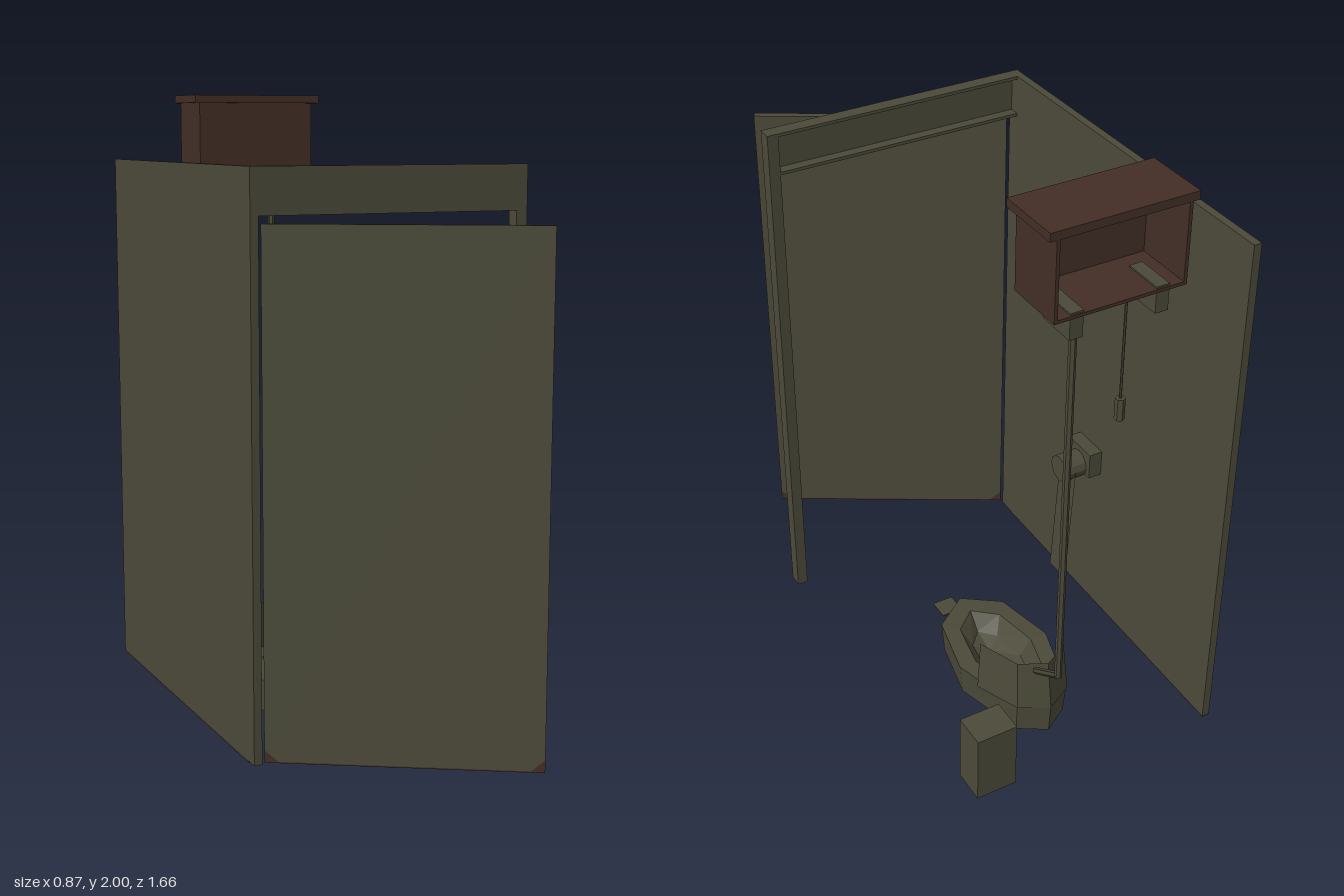
import * as THREE from 'three';

const mat = (name, color) => {
  const m = new THREE.MeshStandardMaterial({ color, side: THREE.DoubleSide, flatShading: true });
  m.name = name;
  return m;
};

// Skin between cross-section rings of [x, y, z] points; optional closing point
function loft(rings, closed, tip) {
  const pos = [];
  const n = rings[0].length;
  const count = closed ? n : n - 1;
  for (let r = 0; r < rings.length - 1; r++) {
    for (let i = 0; i < count; i++) {
      const j = (i + 1) % n;
      const [a, b, c, d] = [rings[r][i], rings[r][j], rings[r + 1][j], rings[r + 1][i]];
      pos.push(...a, ...b, ...c, ...a, ...c, ...d);
    }
  }
  if (tip) {
    const last = rings[rings.length - 1];
    for (let i = 0; i < n; i++) pos.push(...last[i], ...last[(i + 1) % n], ...tip);
  }
  const g = new THREE.BufferGeometry();
  g.setAttribute('position', new THREE.Float32BufferAttribute(pos, 3));
  g.computeVertexNormals();
  return g;
}

export function createModel() {
  const root = new THREE.Group();
  root.name = 'toiletStall';
  const olive = mat('olive', 0x4b4a39);
  const brown = mat('brown', 0x432e26);

  const add = (name, geo, material, parent = root) => {
    const m = new THREE.Mesh(geo, material);
    m.name = name;
    parent.add(m);
    return m;
  };
  // Box given by its limits on each axis
  const box = (name, [x0, x1], [y0, y1], [z0, z1], material = olive, parent = root) => {
    const m = add(name, new THREE.BoxGeometry(x1 - x0, y1 - y0, z1 - z0), material, parent);
    m.position.set((x0 + x1) / 2, (y0 + y1) / 2, (z0 + z1) / 2);
    return m;
  };
  // Straight rod between two points
  const rod = (name, a, b, radius, sides = 6) => {
    const p = new THREE.Vector3(...a), q = new THREE.Vector3(...b);
    const m = add(name, new THREE.CylinderGeometry(radius, radius, p.distanceTo(q), sides), olive);
    m.position.copy(p).add(q).multiplyScalar(0.5);
    m.quaternion.setFromUnitVectors(new THREE.Vector3(0, 1, 0), q.sub(p).normalize());
    return m;
  };

  // Side wall with a rusty lower edge
  box('sideWall', [-0.435, -0.41], [0.083, 1.79], [-0.83, 0.41]);
  box('sideWallRust', [-0.435, -0.41], [0.078, 0.083], [-0.83, 0.365], brown);

  // Door frame: post and a channel-shaped header open at the back
  box('framePost', [0.4, 0.435], [0.08, 1.79], [0.365, 0.41]);
  box('headerFace', [-0.435, 0.4], [1.655, 1.79], [0.398, 0.41]);
  for (const y of [1.655, 1.78]) box('headerLip', [-0.41, 0.4], [y, y + 0.01], [0.365, 0.398]);

  // Door standing ajar, hinged at the wall
  const door = new THREE.Group();
  door.name = 'door';
  door.position.set(-0.405, 0, 0.418);
  door.rotation.y = -Math.PI / 6;
  root.add(door);
  box('doorPanel', [0, 0.8], [0.1, 1.635], [-0.0115, 0.0115], olive, door);
  box('doorRust', [0, 0.8], [0.096, 0.1], [-0.0115, 0.0115], brown, door);
  const corner = new THREE.Shape([[0, 0], [0.04, 0], [0, 0.035]].map(p => new THREE.Vector2(...p)));
  for (const side of [0, 1]) {
    for (const z of [-0.0125, 0.0125]) {
      const rust = add('doorCornerRust', new THREE.ShapeGeometry(corner), brown, door);
      rust.position.set(side * 0.8, 0.1, z);
      if (side) rust.rotation.y = Math.PI;
    }
  }

  // High cistern, open at the back, with lid and brackets
  const cy = [1.735, 1.975], cz = [-0.83, -0.64];
  box('cisternFront', [-0.2, 0.2], cy, [-0.65, -0.64], brown);
  box('cisternSide', [-0.2, -0.19], cy, cz, brown);
  box('cisternSide', [0.19, 0.2], cy, cz, brown);
  box('cisternFloor', [-0.19, 0.19], [1.735, 1.745], [-0.83, -0.65], brown);
  box('cisternLid', [-0.22, 0.22], [1.975, 2], [-0.83, -0.625], brown);
  for (const x of [-0.13, 0.13]) {
    box('cisternBracket', [x - 0.02, x + 0.02], [1.67, 1.75], [-0.825, -0.7]);
  }

  // Flush pipe, pull chain and handle
  rod('flushPipe', [0.108, 1.74, -0.778], [0.108, 0.455, -0.778], 0.011);
  rod('flushPipeBend', [0.108, 0.46, -0.778], [0.05, 0.275, -0.568], 0.011);
  rod('pullChain', [-0.13, 1.74, -0.67], [-0.13, 1.3, -0.67], 0.004);
  rod('pullHandle', [-0.13, 1.305, -0.67], [-0.13, 1.235, -0.67], 0.015);

  // Squat pan: outer wall, flat rim and sunken basin
  const half = [[0, 0], [0.118, -0.085], [0.163, -0.29], [0.092, -0.53], [0, -0.585]];
  const outline = [...half, ...half.slice(1, 4).reverse().map(([x, z]) => [-x, z])];
  const ring = (y, sx, sz) => outline.map(([x, z]) => [x * sx, y, -0.29 + (z + 0.29) * sz]);
  add('squatPan', loft([
    ring(0, 0.94, 0.97), ring(0.11, 1, 1), ring(0.11, 0.64, 0.75), ring(0.055, 0.4, 0.58),
  ], true, [0, 0.035, -0.2]), olive);

  // Splash hood wrapped around the rear of the pan
  const arc = (y, pts) => [...pts, ...pts.slice(0, 2).reverse().map(([x, z]) => [-x, z])]
    .map(([x, z]) => [x, y, z]);
  add('splashHood', loft([
    arc(0.105, [[0.155, -0.39], [0.092, -0.535], [0, -0.585]]),
    arc(0.275, [[0.14, -0.38], [0.085, -0.515], [0, -0.56]]),
  ], false), olive);

  // Paper holder, roll and hanging sheet
  box('paperHolder', [-0.41, -0.365], [0.62, 0.71], [-0.2, -0.075]);
  rod('paperRoll', [-0.365, 0.645, -0.137], [-0.29, 0.645, -0.137], 0.046, 12);
  add('paperSheet', loft([
    [[-0.3, 0.21, -0.09], [-0.3, 0.21, -0.183]],
    [[-0.325, 0.645, -0.09], [-0.325, 0.645, -0.183]],
  ], false), olive);

  // Waste bin and loose sheet on the floor
  box('wasteBin', [0.205, 0.34], [0, 0.24], [-0.715, -0.605]);
  box('floorSheet', [-0.036, 0.036], [0, 0.004], [0.055, 0.125]);

  return root;
}
